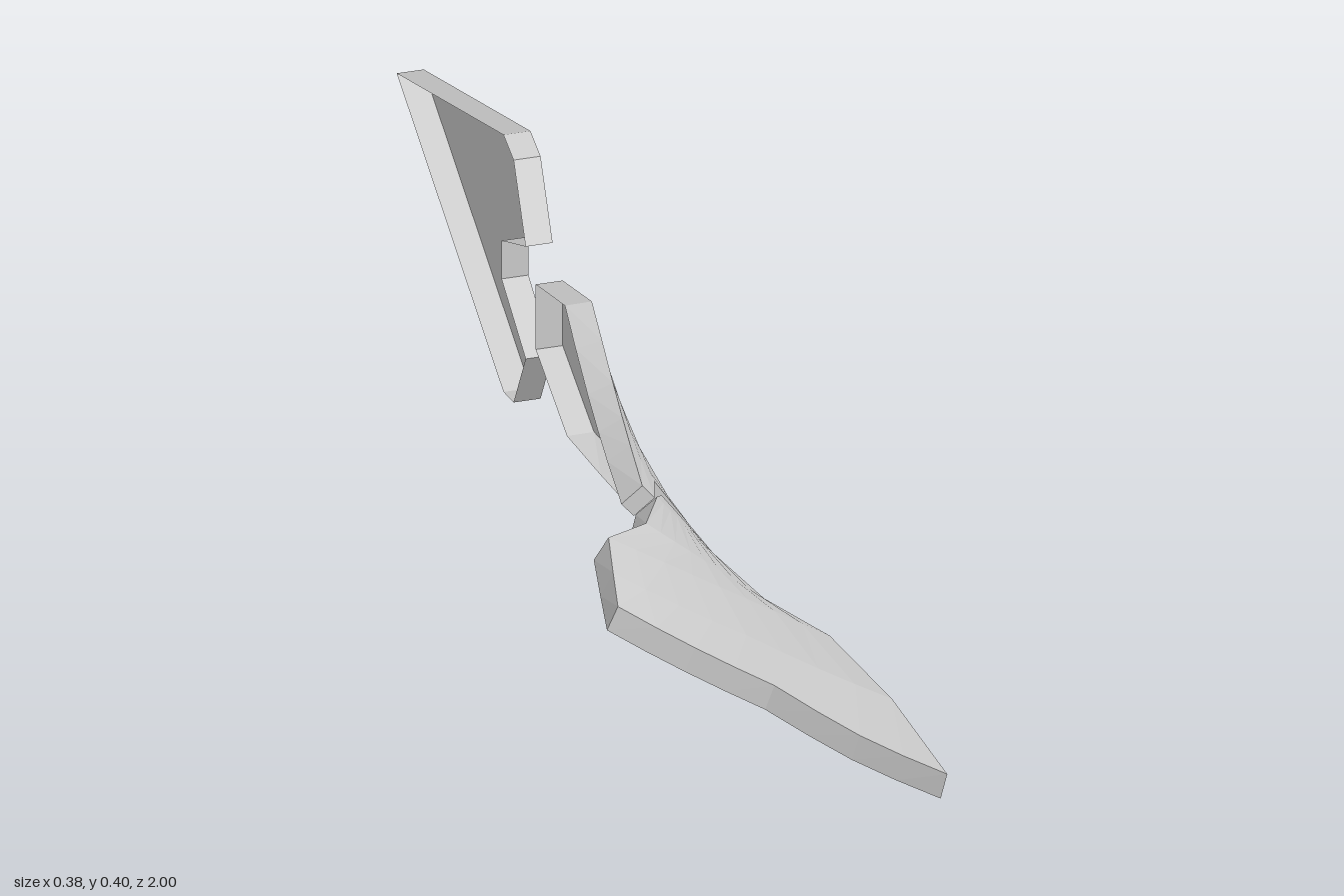
import * as THREE from 'three';

const HALF = 0.019;    // half of the plate thickness
const AXIS_Y = 0.2035; // height of the twist axis

// piecewise linear lookup in [[x, y], ...]
function lerpTable(table, x) {
  if (x <= table[0][0]) return table[0][1];
  for (let i = 1; i < table.length; i++) {
    const [x0, y0] = table[i - 1], [x1, y1] = table[i];
    if (x <= x1) return y0 + (y1 - y0) * (x - x0) / (x1 - x0);
  }
  return table[table.length - 1][1];
}

const TWIST = [[-0.17, 0], [0, 14], [0.32, 39], [0.42, 49], [0.5, 56.8], [0.655, 66], [1, 75.7]];
const LIFT = [[-0.31, 0.006], [0.1, 0.006], [0.32, 0.011], [0.5, 0.0175], [0.78, 0.022], [0.9, 0.017], [1, 0.021]];

// point of the twisted plate: z along the axis, v across it, u through its thickness
function twisted(z, v, u) {
  const a = THREE.MathUtils.degToRad(lerpTable(TWIST, z));
  return [
    0.001 - v * Math.sin(a) + u * Math.cos(a),
    AXIS_Y + lerpTable(LIFT, z) + v * Math.cos(a) + u * Math.sin(a),
    z,
  ];
}

// geometry from loose triangles, flat shaded
function facets(pos) {
  const geo = new THREE.BufferGeometry();
  geo.setAttribute('position', new THREE.Float32BufferAttribute(pos, 3));
  geo.computeVertexNormals();
  return geo;
}

// wall around an outline of [front corner, back corner] pairs
function addRim(pos, rim) {
  rim.forEach(([p, pBack], n) => {
    const [q, qBack] = rim[(n + 1) % rim.length];
    pos.push(...q, ...p, ...pBack, ...q, ...pBack, ...qBack);
  });
}

// shell, open on one side, from a grid of [z, v] points (rows along z, columns across)
function twistedShell(grid) {
  const pos = [];
  const last = grid.length - 1, cols = grid[0].length - 1;
  const P = (i, j, u) => twisted(...grid[i][j], u);
  for (let i = 0; i < last; i++) {
    for (let j = 0; j < cols; j++) {
      const a = P(i, j, HALF), b = P(i, j + 1, HALF);
      const c = P(i + 1, j + 1, HALF), d = P(i + 1, j, HALF);
      pos.push(...a, ...b, ...c, ...a, ...c, ...d);
    }
  }
  const rim = [];
  const corner = (i, j) => rim.push([P(i, j, HALF), P(i, j, -HALF)]);
  for (let j = 0; j < cols; j++) corner(0, j);
  for (let i = 0; i < last; i++) corner(i, cols);
  for (let j = cols; j > 0; j--) corner(last, j);
  for (let i = last; i > 0; i--) corner(i, 0);
  addRim(pos, rim);
  return facets(pos);
}

// arrowhead with a notched rear edge, open on the same side
function headGeometry() {
  const half = [[-0.47, 0.2015], [-0.42, 0.19], [-0.36, 0.088], [-0.48, 0.03]];
  const outline = [...half.slice().reverse(), [-1, 0], ...half.map(([z, y]) => [z, -y])]
    .map(([z, y]) => new THREE.Vector2(z, y));
  const at = (p, u) => [0.001 + u, AXIS_Y + p.y, p.x];
  const pos = [];
  for (const [a, b, c] of THREE.ShapeUtils.triangulateShape(outline, [])) {
    // the outline runs counter-clockwise in (z, y), so it is reversed to face +x
    pos.push(...at(outline[a], HALF), ...at(outline[c], HALF), ...at(outline[b], HALF));
  }
  addRim(pos, outline.slice().reverse().map((p) => [at(p, HALF), at(p, -HALF)]));
  return facets(pos);
}

// shaft with a forked front end
function shaftGeometry() {
  const across = [-1, -0.72, -0.45, 0, 0.45, 0.72, 1];
  const rows = [[-0.31, 0.051], [-0.16, 0.1025], [-0.05, 0.1035], [0.06, 0.103], [0.15, 0.102], [0.22, 0.101]];
  const grid = rows.map(([z, r]) => across.map((s) => [z, s * r]));
  grid.push(across.map((s) => [Math.abs(s) > 0.6 ? 0.32 : 0.243, s * 0.099]));
  return twistedShell(grid);
}

// flared tail, each row: z and reach of the lower edge, middle z, z and reach of the upper edge
function tailGeometry() {
  const rows = [
    [0.275, 0.04, 0.275, 0.275, 0.04],
    [0.305, 0.061, 0.305, 0.305, 0.061],
    [0.42, 0.11, 0.42, 0.42, 0.11],
    [0.5, 0.185, 0.5, 0.5, 0.187],
    [0.75, 0.188, 0.64, 0.58, 0.195],
    [1, 0.19, 0.785, 0.655, 0.202],
  ];
  const across = [-1, -0.75, -0.5, -0.25, 0, 0.25, 0.5, 0.75, 1];
  return twistedShell(rows.map(([zLow, rLow, zMid, zUp, rUp]) => across.map((s) => {
    const t = Math.abs(s);
    return s < 0 ? [zMid + (zLow - zMid) * t, s * rLow] : [zMid + (zUp - zMid) * t, s * rUp];
  })));
}

export function createModel() {
  const group = new THREE.Group();
  group.name = 'twistedArrow';
  const grey = new THREE.MeshStandardMaterial({ color: 0xcccccc, side: THREE.DoubleSide });
  grey.name = 'lightGrey';
  const parts = { arrowHead: headGeometry(), arrowShaft: shaftGeometry(), arrowTail: tailGeometry() };
  for (const [name, geo] of Object.entries(parts)) {
    const mesh = new THREE.Mesh(geo, grey);
    mesh.name = name;
    group.add(mesh);
  }
  return group;
}
